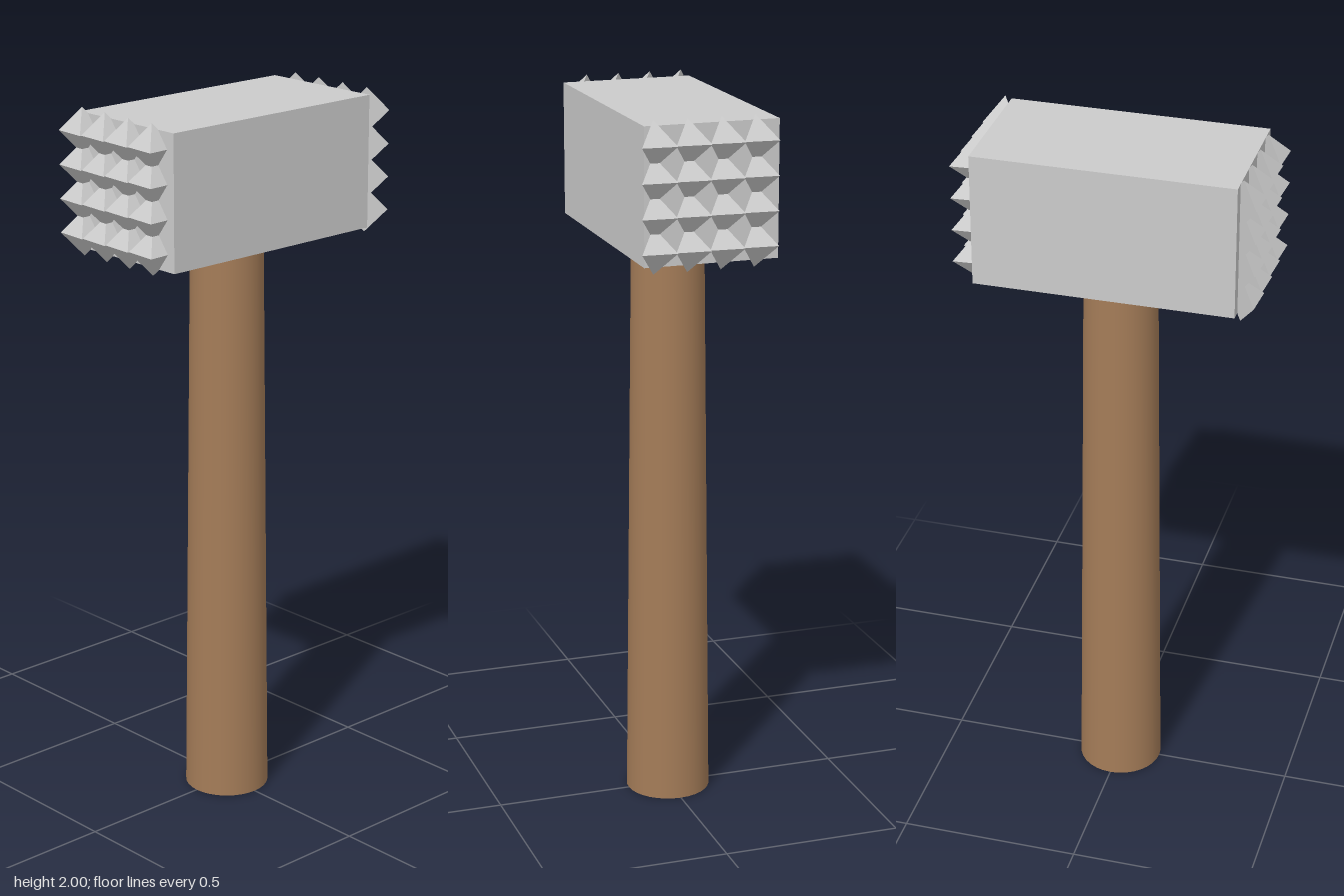
import * as THREE from 'three';

export function createModel() {
  const group = new THREE.Group();
  const metal = new THREE.MeshStandardMaterial({ color: 0xcccccc, flatShading: true });
  const wood = new THREE.MeshStandardMaterial({ color: 0xa47c58 });

  const headY = 1.8, headSize = 0.368, headLength = 0.708;
  const spikeRadius = 0.0625, spikeHeight = 0.071, rows = 4;

  // Tapered round handle, reaching up to the head
  const handleHeight = headY - headSize / 2;
  const handle = new THREE.Mesh(new THREE.CylinderGeometry(0.1, 0.118, handleHeight, 32), wood);
  handle.name = 'handle';
  handle.position.y = handleHeight / 2;
  group.add(handle);

  // Block head
  const head = new THREE.Mesh(new THREE.BoxGeometry(headLength, headSize, headSize), metal);
  head.name = 'head';
  head.position.y = headY;
  group.add(head);

  // Grid of slanted four-sided spikes on both striking faces
  const spikeGeometry = new THREE.ConeGeometry(spikeRadius, spikeHeight, 4);
  const pitch = headSize / rows;
  for (const side of [-1, 1]) {
    const face = new THREE.Group();
    face.name = side > 0 ? 'leftSpikes' : 'rightSpikes';
    face.position.set(side * (headLength + spikeHeight) / 2, headY, 0);
    for (let i = 0; i < rows; i++) {
      for (let j = 0; j < rows; j++) {
        const spike = new THREE.Mesh(spikeGeometry, metal);
        spike.name = 'spike';
        spike.position.set(0, (i - (rows - 1) / 2) * pitch, (j - (rows - 1) / 2) * pitch);
        // tip outward, then turned 45 degrees about the vertical
        spike.rotation.set(0, Math.PI / 4, -side * Math.PI / 2);
        face.add(spike);
      }
    }
    group.add(face);
  }
  return group;
}
